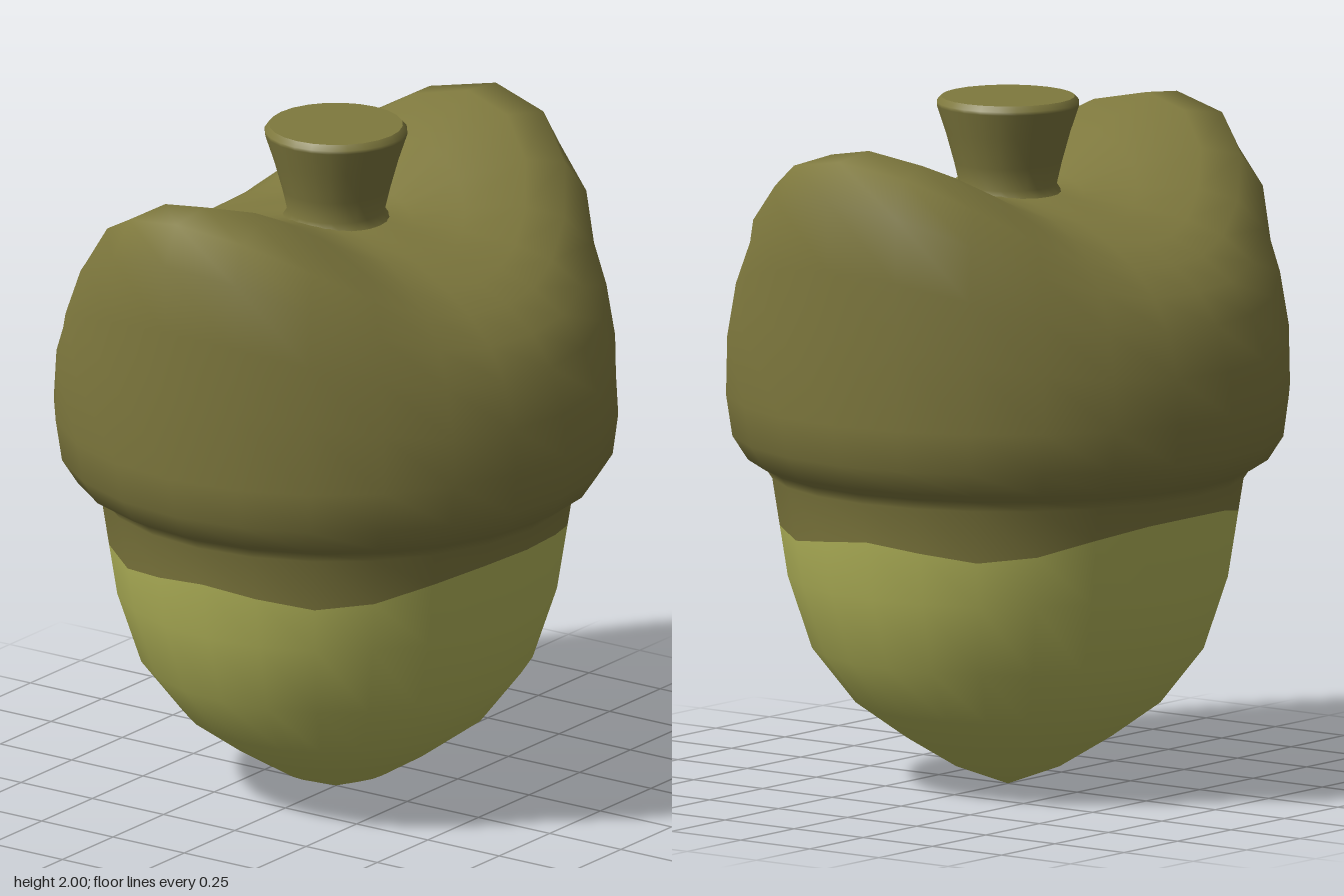
import * as THREE from 'three';
import { mergeVertices } from 'three/addons/utils/BufferGeometryUtils.js';

const SEGMENTS = 24;

// Nut profile below the colour edge: [radius, y]
const NUT = [[0, 0.005], [0.16, 0.065], [0.3, 0.15], [0.44, 0.25], [0.565, 0.41], [0.635, 0.62]];

// Cap profile: [radius, y] on the z axis, then [radius, y] on the raised x axis
const CAP = [
  [0.68, 0.905, 0.68, 0.905], [0.7, 0.935, 0.7, 0.935], [0.75, 0.96, 0.75, 0.96],
  [0.795, 1.03, 0.795, 1.03], [0.81, 1.15, 0.82, 1.15], [0.8, 1.28, 0.83, 1.4],
  [0.755, 1.41, 0.845, 1.6], [0.69, 1.5, 0.845, 1.8], [0.6, 1.57, 0.79, 1.91],
  [0.5, 1.62, 0.65, 1.925], [0.36, 1.67, 0.4, 1.84], [0.22, 1.71, 0.2, 1.75],
  [0.12, 1.73, 0.12, 1.73],
];

// Wavy height where the nut colour meets the cap colour
const edgeY = (t) =>
  0.793 - 0.0385 * Math.cos(2 * t) + 0.025 * Math.cos(4 * t) + 0.011 * Math.cos(6 * t);

// Each ring is a function of the angle giving [radius, y]
function makeRings() {
  const rings = NUT.map((p) => () => p);
  rings.push((t) => {
    const y = edgeY(t);
    return [0.635 + 0.045 * (y - 0.62) / 0.285, y];
  });
  for (const [r0, y0, r1, y1] of CAP) {
    rings.push((t) => {
      const w = Math.pow(Math.abs(Math.cos(t)), 3.2);
      return [r0 + (r1 - r0) * w, y0 + (y1 - y0) * w];
    });
  }
  return rings;
}

// Continuous skin over the rings; the nut and cap are two material groups
function makeBodyGeometry() {
  const rings = makeRings();
  const positions = [];
  const index = [];
  rings.forEach((ring, i) => {
    for (let j = 0; j < SEGMENTS; j++) {
      const t = (j / SEGMENTS) * Math.PI * 2;
      const [r, y] = ring(t);
      positions.push(r * Math.cos(t), y, r * Math.sin(t));
      if (i === rings.length - 1) continue;
      const k = (j + 1) % SEGMENTS;
      const a = i * SEGMENTS + j, d = i * SEGMENTS + k;
      const b = a + SEGMENTS, c = d + SEGMENTS;
      index.push(a, b, c, a, c, d);
    }
  });
  const geometry = new THREE.BufferGeometry();
  geometry.setAttribute('position', new THREE.Float32BufferAttribute(positions, 3));
  geometry.setIndex(index);
  const nutCount = NUT.length * SEGMENTS * 6;
  geometry.addGroup(0, nutCount, 0);
  geometry.addGroup(nutCount, index.length - nutCount, 1);
  const merged = mergeVertices(geometry);
  merged.computeVertexNormals();
  return merged;
}

export function createModel() {
  const nutMaterial = new THREE.MeshStandardMaterial({ color: 0xb4b65a });
  nutMaterial.name = 'nutGreen';
  const capMaterial = new THREE.MeshStandardMaterial({ color: 0x7f793e });
  capMaterial.name = 'capOlive';

  const model = new THREE.Group();
  model.name = 'acorn';

  // Nut and cap
  const body = new THREE.Mesh(makeBodyGeometry(), [nutMaterial, capMaterial]);
  body.name = 'nutAndCap';
  model.add(body);

  // Flared stem
  const profile = [[0.16, 1.715], [0.14, 1.745], [0.155, 1.81], [0.18, 1.9], [0.205, 1.975], [0.205, 1.985], [0.192, 2]]
    .map(([x, y]) => new THREE.Vector2(x, y));
  const stem = new THREE.Mesh(new THREE.LatheGeometry(profile, SEGMENTS), capMaterial);
  stem.name = 'stem';
  model.add(stem);

  // Flat stem end
  const stemTop = new THREE.Mesh(new THREE.CircleGeometry(0.192, SEGMENTS), capMaterial);
  stemTop.name = 'stemTop';
  stemTop.rotation.x = -Math.PI / 2;
  stemTop.position.y = 2;
  model.add(stemTop);

  return model;
}
